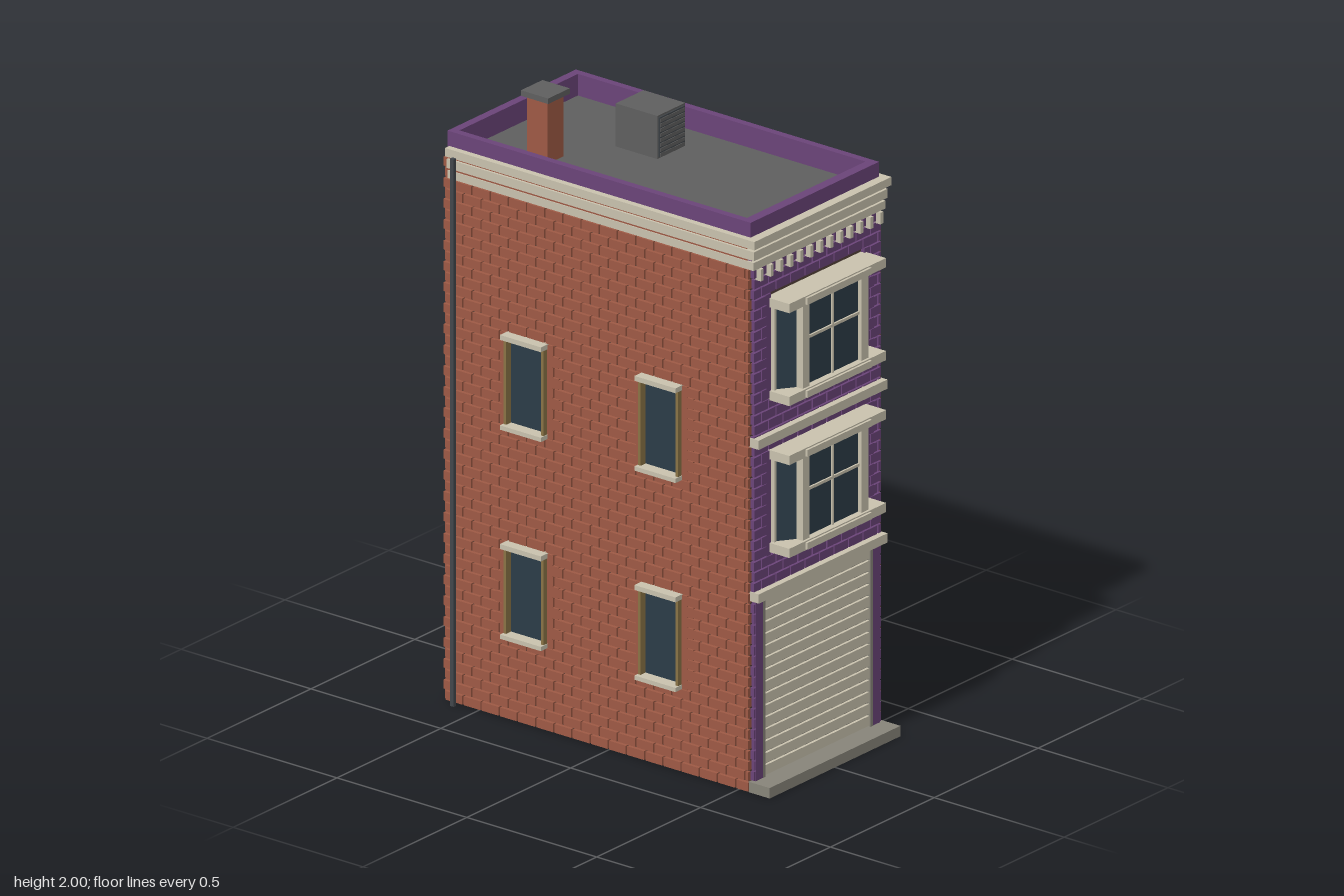
import * as THREE from 'three';
import { mergeGeometries } from 'three/addons/utils/BufferGeometryUtils.js';

const mat = (name, color) => {
  const m = new THREE.MeshStandardMaterial({ color });
  m.name = name;
  return m;
};

export function createModel() {
  const mortar = mat('mortar', 0x56423b), red = mat('red brick', 0x9f5a45), purple = mat('purple paint', 0x6b4479);
  const cream = mat('cream trim', 0xcac3af), roofGrey = mat('roof grey', 0x5f5f5f), stone = mat('stone grey', 0x88857a);
  const glass = mat('window glass', 0x2c3c48), dark = mat('dark metal', 0x42474c), ochre = mat('ochre casing', 0x8a7346);

  const model = new THREE.Group();
  model.name = 'townhouse';

  const add = (name, geo, material, parent = model) => {
    const m = new THREE.Mesh(geo, material);
    m.name = name;
    parent.add(m);
    return m;
  };
  // box from its lower and upper limits on each axis
  const boxGeo = (x0, x1, y0, y1, z0, z1) =>
    new THREE.BoxGeometry(x1 - x0, y1 - y0, z1 - z0).translate((x0 + x1) / 2, (y0 + y1) / 2, (z0 + z1) / 2);
  const box = (name, material, limits, parent) => add(name, boxGeo(...limits), material, parent);

  const ROW = 0.034, LEN = 0.07, GAP = 0.0055;

  // running-bond bricks facing +z, left out where a hole [u0, u1, y0, y1] lies;
  // toothed blocks without joints frame the openings listed in framed
  const brickWall = (name, material, u0, u1, y0, y1, holes, framed, depth) => {
    const parts = [];
    for (let r = Math.round(y0 / ROW); (r + 0.9) * ROW < y1; r++) {
      const b = r * ROW + GAP / 2, t = b + ROW - GAP, mid = (b + t) / 2;
      for (let s = u0 - (r % 2) * LEN / 2; s < u1; s += LEN) {
        let spans = [[Math.max(s + GAP / 2, u0), Math.min(s + LEN - GAP / 2, u1)]];
        for (const [h0, h1, k0, k1] of holes) {
          if (mid < k0 || mid > k1) continue;
          spans = spans.flatMap(([a, c]) => [[a, Math.min(c, h0)], [Math.max(a, h1), c]]);
        }
        for (const [a, c] of spans) if (c - a > 0.006) parts.push(boxGeo(a, c, b, t, -0.004, depth));
      }
      for (const [h0, h1, k0, k1] of framed) {
        if (mid < k0 || mid > k1) continue;
        const w = r % 2 ? 0.045 : 0.022;
        for (const [a, c] of [[h0 - w, h0], [h1, h1 + w]])
          parts.push(boxGeo(a, c, r * ROW, (r + 1) * ROW, -0.004, depth + 0.001));
      }
    }
    return add(name, mergeGeometries(parts), material);
  };

  // core, base, step and roof
  box('wallCore', mortar, [-0.307, 0.307, 0.006, 1.77, -0.623, 0.537]);
  box('basePlate', stone, [-0.308, 0.308, 0, 0.006, -0.624, 0.538]);
  box('frontStep', stone, [-0.315, 0.315, 0, 0.034, 0.537, 0.618]);
  box('roofDeck', roofGrey, [-0.3, 0.3, 1.77, 1.78, -0.615, 0.53]);

  // parapet ring
  const rect = (T, x0, x1, y0, y1) => {
    const s = new T();
    s.moveTo(x0, y0); s.lineTo(x1, y0); s.lineTo(x1, y1); s.lineTo(x0, y1); s.closePath();
    return s;
  };
  const ring = rect(THREE.Shape, -0.309, 0.309, -0.54, 0.627);
  ring.holes.push(rect(THREE.Path, -0.285, 0.285, -0.507, 0.6));
  add('parapet', new THREE.ExtrudeGeometry(ring, { depth: 0.08, bevelEnabled: false }).rotateX(-Math.PI / 2).translate(0, 1.77, 0), purple);

  // window openings shared by the side and back walls
  const sills = [8 * ROW, 28 * ROW], winH = 9 * ROW;
  const sideZ = [0.206, -0.312], halfW = 0.076;

  for (const side of [1, -1]) {
    const label = side > 0 ? 'left' : 'right';
    const holes = sideZ.flatMap(z => sills.map(y => [-side * z - halfW, -side * z + halfW, y, y + winH]));
    const ends = side > 0 ? [-0.538, 0.63] : [-0.63, 0.538];
    const wall = brickWall(label + 'WallBricks', red, ends[0], ends[1], 0, 1.7, holes, holes, 0.012);
    wall.rotation.y = side * Math.PI / 2;
    wall.position.x = side * 0.307;
    // side windows
    for (const z of sideZ) for (const y of sills) {
      const w = new THREE.Group();
      w.name = label + 'Window';
      w.position.set(side * 0.307, y, z);
      w.rotation.y = side * Math.PI / 2;
      box('pane', glass, [-0.07, 0.07, 0.01, winH - 0.012, 0, 0.006], w);
      for (const s of [-1, 1]) box('jamb', ochre, [s * 0.072 - 0.005, s * 0.072 + 0.005, 0.008, winH - 0.01, 0, 0.03], w);
      box('sill', cream, [-0.079, 0.079, 0, 0.014, 0, 0.045], w);
      box('lintel', cream, [-0.079, 0.079, winH - 0.014, winH + 0.002, 0, 0.045], w);
      model.add(w);
    }
    // drainpipe
    box(label + 'Drainpipe', dark, [side * 0.338 - 0.006, side * 0.338 + 0.006, 0, 1.78, -0.59, -0.575]);
  }

  // back wall and its flush windows
  const backHoles = sills.map(y => [-0.1, 0.1, y, y + winH]);
  const back = brickWall('backWallBricks', red, -0.317, 0.317, 0, 1.77, backHoles, backHoles, 0.013);
  back.rotation.y = Math.PI;
  back.position.z = -0.623;
  for (const y of sills) box('backWindow', glass, [-0.1, 0.1, y, y + winH, -0.629, -0.622]);

  // painted front wall
  const bays = [0.758, 1.252], bayH = 0.332;
  const bayHoles = bays.map(y => [-0.225, 0.225, y, y + bayH]);
  const frontHoles = [[-0.257, 0.257, 0, 0.63], ...bayHoles];
  brickWall('frontWallBricks', purple, -0.306, 0.306, 0.034, 1.7, frontHoles, bayHoles, 0.014).position.z = 0.537;
  for (const y of [0.62, 1.12]) box('frontBand', cream, [-0.31, 0.31, y, y + 0.03, 0.537, 0.572]);

  // roller door with slats, tracks and jambs
  box('doorBacking', stone, [-0.257, 0.257, 0.034, 0.62, 0.53, 0.541]);
  const slats = 15, pitch = 0.582 / slats;
  for (let i = 0; i < slats; i++)
    box('doorSlat', cream, [-0.25, 0.25, 0.038 + i * pitch, 0.038 + (i + 0.82) * pitch, 0.538, 0.55]);
  for (const s of [-1, 1]) {
    box('doorTrack', stone, [s * 0.259 - 0.006, s * 0.259 + 0.006, 0.034, 0.62, 0.535, 0.553]);
    box('doorJamb', purple, [s * 0.282 - 0.017, s * 0.282 + 0.017, 0.034, 0.62, 0.535, 0.552]);
  }

  // bay windows with angled side panes
  for (const y of bays) {
    const bay = new THREE.Group();
    bay.name = 'bayWindow';
    bay.position.y = y;
    const plan = new THREE.Shape();
    [[-0.218, -0.535], [0.218, -0.535], [0.215, -0.555], [0.145, -0.605], [-0.145, -0.605], [-0.215, -0.555]]
      .forEach(([px, py], i) => (i ? plan.lineTo(px, py) : plan.moveTo(px, py)));
    add('panes', new THREE.ExtrudeGeometry(plan, { depth: bayH - 0.05, bevelEnabled: false }).rotateX(-Math.PI / 2).translate(0, 0.025, 0), glass, bay);
    box('bayLintel', cream, [-0.233, 0.233, bayH - 0.03, bayH, 0.535, 0.628], bay);
    box('lintelCap', cream, [-0.155, 0.155, bayH - 0.026, bayH - 0.004, 0.6, 0.636], bay);
    box('baySill', cream, [-0.233, 0.233, 0, 0.03, 0.535, 0.628], bay);
    box('sillCap', cream, [-0.155, 0.155, 0.004, 0.026, 0.6, 0.636], bay);
    for (const s of [-1, 1]) {
      box('post', cream, [s * 0.142 - 0.016, s * 0.142 + 0.016, 0.03, bayH - 0.03, 0.588, 0.62], bay);
      box('endPost', cream, [s * 0.216 - 0.005, s * 0.216 + 0.005, 0.03, bayH - 0.03, 0.535, 0.562], bay);
    }
    box('mullion', cream, [-0.004, 0.004, 0.03, bayH - 0.03, 0.602, 0.611], bay);
    box('glazingBar', cream, [-0.13, 0.13, 0.179, 0.188, 0.602, 0.611], bay);
    model.add(bay);
  }

  // stepped cornice around the front and sides, with dentils below
  box('frontFrieze', purple, [-0.309, 0.309, 1.7, 1.77, 0.53, 0.544]);
  for (const s of [-1, 1]) box('sideFrieze', red, [s * 0.309 - 0.005, s * 0.309 + 0.005, 1.7, 1.778, -0.63, 0.53]);
  for (const [y0, y1, out] of [[1.7, 1.726, 0.01], [1.735, 1.764, 0.015], [1.775, 1.802, 0.023]]) {
    box('corniceFront', cream, [-0.307 - out, 0.307 + out, y0, y1, 0.53, 0.548 + out]);
    for (const s of [-1, 1])
      box('corniceSide', cream, [s * (0.307 + out / 2) - out / 2, s * (0.307 + out / 2) + out / 2, y0, y1, -0.62, 0.53]);
  }
  for (let i = 0; i < 13; i++) {
    const x = -0.288 + i * 0.048;
    box('dentil', cream, [x - 0.007, x + 0.007, 1.662, 1.7, 0.537, 0.568]);
  }

  // chimney
  box('chimneyShaft', red, [-0.194, -0.116, 1.775, 1.985, -0.412, -0.334]);
  box('chimneyCap', roofGrey, [-0.207, -0.103, 1.982, 2, -0.426, -0.321]);

  // rooftop vent unit with louvres
  box('ventUnit', roofGrey, [0.042, 0.176, 1.775, 1.92, -0.26, -0.1]);
  box('ventOpening', dark, [0.048, 0.17, 1.785, 1.914, -0.101, -0.096]);
  for (let i = 0; i < 8; i++)
    box('louvre', roofGrey, [0.05, 0.168, 1.786 + i * 0.016, 1.797 + i * 0.016, -0.099, -0.094]);

  return model;
}
